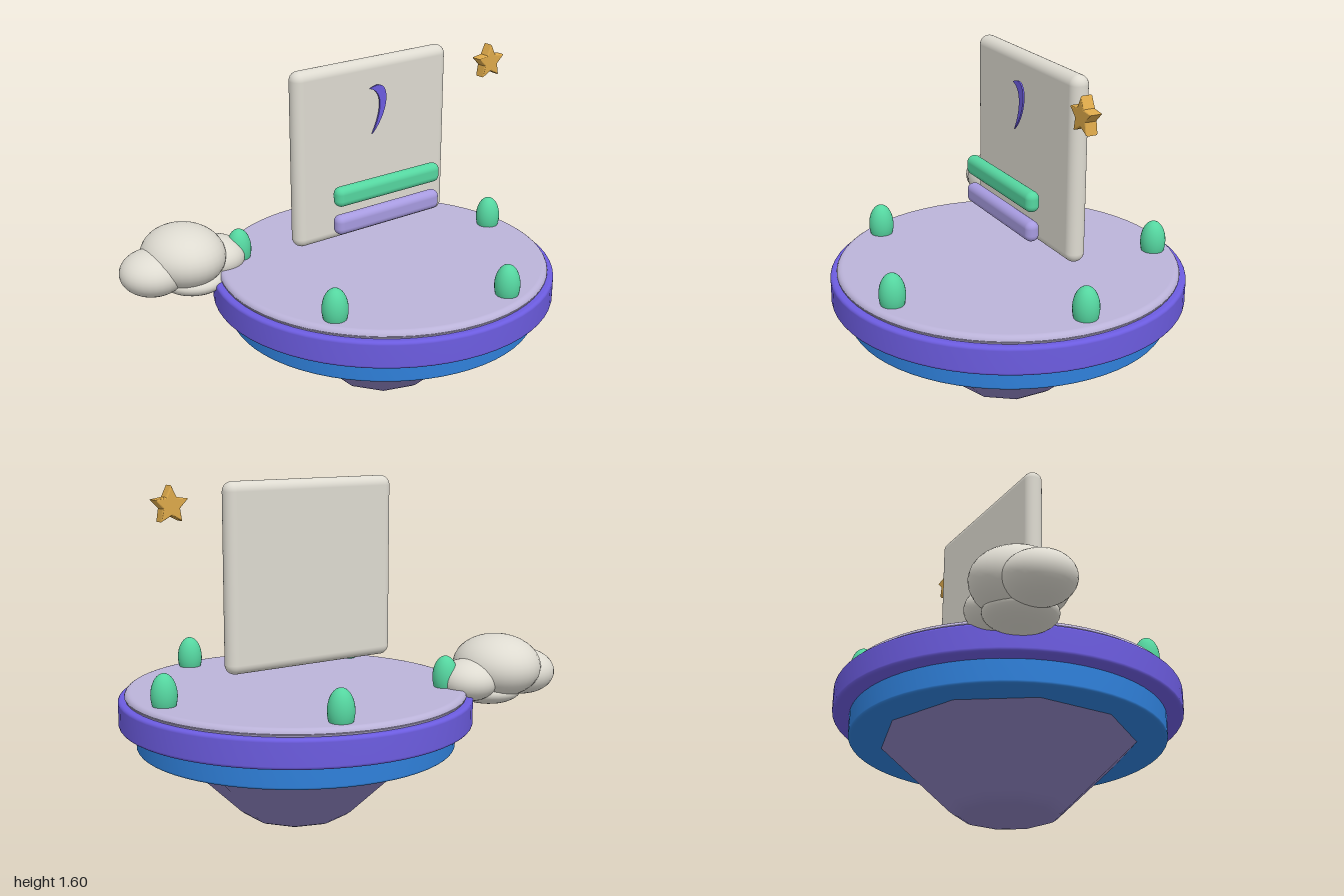
import * as THREE from 'three';
import { RoundedBoxGeometry } from 'three/addons/geometries/RoundedBoxGeometry.js';

const material = (name, color) => {
  const m = new THREE.MeshStandardMaterial({ color });
  m.name = name;
  return m;
};

export function createModel() {
  const purple = material('purple', 0x6c5ce0);
  const blue = material('blue', 0x2f80da);
  const violet = material('dusty violet', 0x8a7fbc);
  const lilac = material('pale lilac', 0xbbb3d9);
  const lavender = material('lavender', 0xa79be0);
  const green = material('green', 0x55d6a0);
  const cream = material('cream', 0xdedbd1);
  const gold = material('gold', 0xdda94a);

  const model = new THREE.Group();
  model.name = 'floatingIsland';

  const add = (name, geometry, mat, x = 0, y = 0, z = 0, parent = model) => {
    const mesh = new THREE.Mesh(geometry, mat);
    mesh.name = name;
    mesh.position.set(x, y, z);
    parent.add(mesh);
    return mesh;
  };

  // Round slab with softened rims; the extra points keep the flat faces flat
  const slab = (r, y0, y1, b) => {
    const p = [[0, y0], [r - b - 0.004, y0]];
    for (let i = 0; i <= 4; i++) {
      const a = (i / 4) * Math.PI / 2;
      p.push([r - b + b * Math.sin(a), y0 + b - b * Math.cos(a)]);
    }
    for (let i = 0; i <= 4; i++) {
      const a = (i / 4) * Math.PI / 2;
      p.push([r - b + b * Math.cos(a), y1 - b + b * Math.sin(a)]);
    }
    p.push([r - b - 0.004, y1], [0, y1]);
    return new THREE.LatheGeometry(p.map(([x, y]) => new THREE.Vector2(x, y)), 64);
  };

  const cx = 0.17; // axis of the platform

  // Ten-sided tapering base with a rounded foot
  const baseProfile = [
    [0, 0], [0.19, 0], [0.2, 0], [0.225, 0.004], [0.25, 0.015],
    [0.275, 0.034], [0.285, 0.044], [0.61, 0.355], [0.61, 0.36], [0, 0.36],
  ].map(([x, y]) => new THREE.Vector2(x, y));
  add('base', new THREE.LatheGeometry(baseProfile, 10), violet, cx);

  // Stacked platform rings
  add('lowerRing', slab(0.75, 0.35, 0.47, 0.012), blue, cx);
  add('upperRing', slab(0.83, 0.46, 0.592, 0.015), purple, cx);
  add('deck', slab(0.8, 0.58, 0.626, 0.025), lilac, cx);

  // Bushes around the deck
  const bushGeometry = new THREE.SphereGeometry(1, 24, 16);
  const bushes = [[0.865, 0], [0.365, 0.672], [-0.408, 0.397], [-0.39, -0.42], [0.39, -0.667]];
  for (const [x, z] of bushes) {
    add('bush', bushGeometry, green, x, 0.672, z).scale.set(0.06, 0.1, 0.06);
  }

  // Upright panel and the two bars in front of it
  add('panel', new RoundedBoxGeometry(0.89, 0.85, 0.09, 5, 0.044), cream, cx, 1.175, -0.113);
  const bar = new RoundedBoxGeometry(0.615, 0.095, 0.067, 5, 0.032);
  add('upperBar', bar, green, cx, 1.014, 0.033);
  add('lowerBar', bar, lavender, cx, 0.875, 0.033);

  // Plain crescent ornament, a thin plate
  const crescent = new THREE.Shape();
  crescent.moveTo(0.125, 1.47);
  crescent.bezierCurveTo(0.245, 1.53, 0.255, 1.36, 0.14, 1.25);
  crescent.bezierCurveTo(0.2, 1.36, 0.2, 1.45, 0.125, 1.47);
  add('crescentOrnament', new THREE.ExtrudeGeometry(crescent, {
    depth: 0.008, bevelEnabled: false, curveSegments: 16,
  }), purple, 0, 0, -0.053);

  // Five-pointed star with bevelled edges
  const starShape = new THREE.Shape();
  for (let i = 0; i < 10; i++) {
    const r = i % 2 ? 0.036 : 0.076;
    const a = Math.PI / 2 + i * Math.PI / 5;
    starShape[i ? 'lineTo' : 'moveTo'](r * Math.cos(a), r * Math.sin(a));
  }
  starShape.closePath();
  add('star', new THREE.ExtrudeGeometry(starShape, {
    depth: 0.036, bevelThickness: 0.01, bevelSize: 0.007, bevelSegments: 3,
  }), gold, 0.818, 1.501, -0.018);

  // Cloud of overlapping puffs: centre, then radii
  const cloud = new THREE.Group();
  cloud.name = 'cloud';
  model.add(cloud);
  const puffGeometry = new THREE.SphereGeometry(1, 32, 20);
  const puffs = [
    [-0.68, 0.7, -0.457, 0.2, 0.15, 0.22],
    [-0.84, 0.653, -0.462, 0.16, 0.11, 0.157],
    [-0.5, 0.65, -0.457, 0.14, 0.1, 0.145],
    [-0.645, 0.585, -0.43, 0.16, 0.068, 0.165],
  ];
  for (const [x, y, z, rx, ry, rz] of puffs) {
    add('cloudPuff', puffGeometry, cream, x, y, z, cloud).scale.set(rx, ry, rz);
  }

  return model;
}
